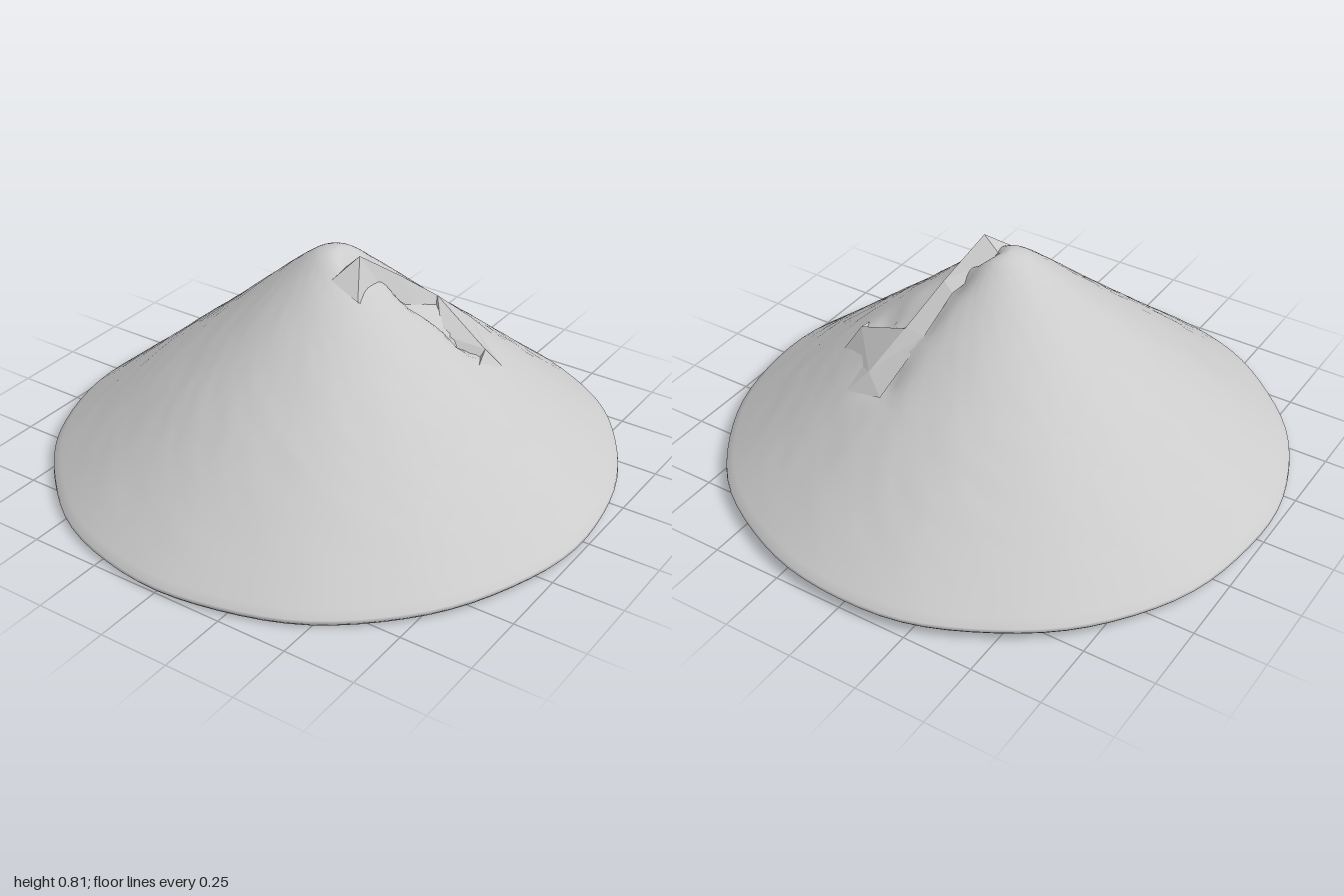
import * as THREE from 'three';
import { mergeVertices } from 'three/addons/utils/BufferGeometryUtils.js';

const V = (x, y) => new THREE.Vector2(x, y);

// Hollows around the tear: x, z, size, depth
const hollows = [
  // groove under the ridge
  [0.09, 0.0, 0.05, 0.05], [0.13, -0.12, 0.06, 0.04], [0.17, -0.24, 0.055, 0.04], [0.21, -0.4, 0.06, 0.045],
  // pocket between the ridge and the side flap
  [0.21, -0.11, 0.06, 0.05], [0.28, -0.18, 0.06, 0.06], [0.38, -0.19, 0.05, 0.05],
];

// Sag of the straw around the tear, plus the slight tilt of the brim
function sag(x, z, depthScale) {
  let y = -0.012 * z;
  for (const [cx, cz, size, depth] of hollows) {
    y -= depthScale * depth * Math.exp(-((x - cx) ** 2 + (z - cz) ** 2) / (size * size));
  }
  return y;
}

// Repeatable noise from -1 to 1
const noise = (i) => {
  const s = Math.sin(i * 127.1 + 11.7) * 43758.5453;
  return 2 * (s - Math.floor(s)) - 1;
};

// Revolve a profile, then move its vertices: uneven outline, sag and roughness
function shell(profile, segments, rough, depthScale) {
  let geo = new THREE.LatheGeometry(profile, segments);
  geo.deleteAttribute('uv');
  geo.deleteAttribute('normal');
  geo = mergeVertices(geo, 1e-4);
  const p = geo.attributes.position;
  for (let i = 0; i < p.count; i++) {
    const x = p.getX(i), y = p.getY(i), z = p.getZ(i);
    const r = Math.hypot(x, z), a = Math.atan2(z, x);
    const k = 1 + r * (-0.005 * Math.cos(2 * a) + 0.003 * Math.sin(7 * a + 1) + 0.002 * Math.sin(13 * a));
    const fade = Math.min(1, r * 2) * Math.max(0, Math.min(1, (0.95 - r) * 8));
    p.setXYZ(i, x * k, y + sag(x, z, depthScale) + rough * fade * noise(i), z * k);
  }
  geo.computeVertexNormals();
  return geo;
}

export function createModel() {
  const group = new THREE.Group();
  const add = (name, geo, options = {}) => {
    const mat = new THREE.MeshStandardMaterial({ color: 0xcccccc, ...options });
    const mesh = new THREE.Mesh(geo, mat);
    mesh.name = name;
    group.add(mesh);
  };

  // Outer cone, from the thin lip of the brim up to the rounded tip
  const slope = new THREE.SplineCurve([
    V(0.991, 0.036), V(0.8, 0.187), V(0.6, 0.35), V(0.4, 0.513), V(0.2, 0.682),
    V(0.1, 0.762), V(0.05, 0.79), V(0, 0.8),
  ]).getPoints(36);
  slope[slope.length - 1].x = 0;
  const outer = [V(0.968, 0.022), V(0.984, 0.013), V(0.993, 0.024), ...slope];
  add('outerCone', shell(outer, 84, 0.0025, 1));

  // Hollow inside, in coarse facets
  const inner = [
    V(0, 0.75), V(0.13, 0.695), V(0.24, 0.61), V(0.35, 0.52), V(0.47, 0.42),
    V(0.63, 0.29), V(0.8, 0.155), V(0.982, 0.021),
  ];
  add('innerLining', shell(inner, 28, 0.012, 1.4), { flatShading: true });

  // Torn fold: a ridge running down the back, with a side flap
  const points = {
    L0: [0.05, 0.745, 0.03], R0: [0.115, 0.81, 0.03], B0: [0.165, 0.69, 0.115], A0: [0.06, 0.74, 0.115],
    L1: [0.125, 0.672, -0.15], R1: [0.175, 0.692, -0.125], B1: [0.21, 0.56, -0.1],
    L2: [0.15, 0.568, -0.28], R2: [0.23, 0.567, -0.28], B2: [0.26, 0.45, -0.2],
    L3: [0.195, 0.42, -0.48], R3: [0.29, 0.445, -0.41],
    F1: [0.46, 0.455, -0.22], F2: [0.48, 0.425, -0.14], F3: [0.31, 0.48, -0.185], F4: [0.44, 0.39, -0.16],
    G1: [0.5, 0.38, -0.27], G2: [0.35, 0.375, -0.46],
  };
  const faces = [
    // front end
    'L0 A0 R0', 'A0 B0 R0',
    // top of the ridge
    'L0 R0 R1', 'L0 R1 L1', 'L1 R1 R2', 'L1 R2 L2', 'L2 R2 R3', 'L2 R3 L3',
    // side wall of the ridge
    'R0 B0 B1', 'R0 B1 R1', 'R1 B1 B2', 'R1 B2 R2',
    // side flap
    'R2 B2 F3', 'R2 F3 F1', 'F3 F4 F1', 'F1 F4 F2',
    // back of the flap, running out into the cone
    'R2 F1 R3', 'F1 G1 R3', 'G1 G2 R3', 'F1 F2 G1', 'R3 G2 L3',
  ];
  const fold = new THREE.BufferGeometry();
  const corners = faces.flatMap((f) => f.split(' ').flatMap((n) => points[n]));
  fold.setAttribute('position', new THREE.Float32BufferAttribute(corners, 3));
  fold.computeVertexNormals();
  add('tornFold', fold, { flatShading: true, side: THREE.DoubleSide });

  return group;
}
